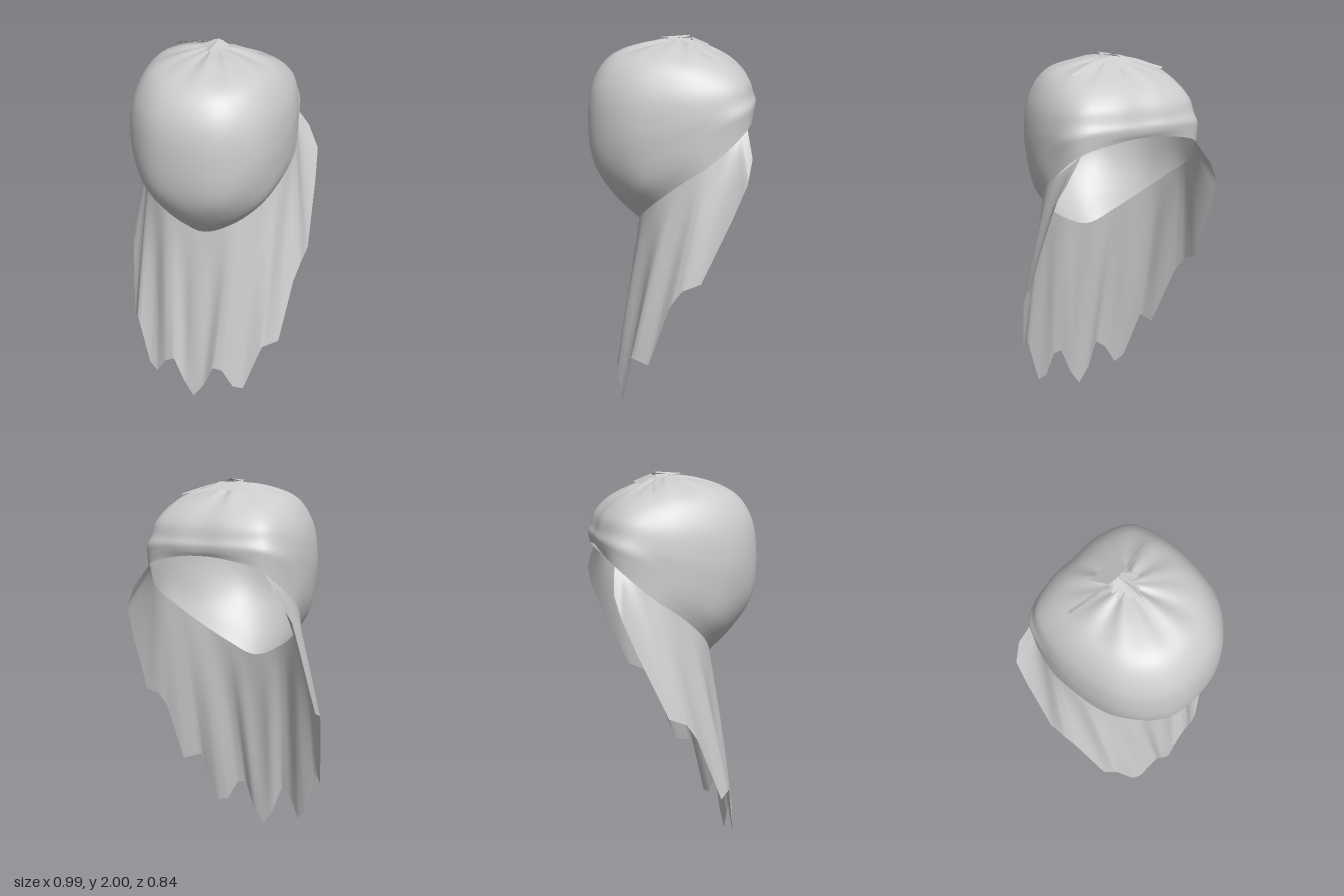
import * as THREE from 'three';

const V = (x, y, z) => new THREE.Vector3(x, y, z);
const mirror = p => V(-p.x, p.y, p.z);
const toPoints = rows => rows.map(r => V(...r));
const { smoothstep } = THREE.MathUtils;

// Half outlines of the hood, from the middle of the front round to the middle of the back
const RIM = toPoints([[0, 1.055, .16], [.15, 1.115, .145], [.285, 1.22, .07], [.365, 1.34, -.06],
  [.385, 1.44, -.2], [.315, 1.59, -.37], [.14, 1.64, -.41], [0, 1.65, -.41]]);
const CHIN = toPoints([[0, 1.18, .285], [.17, 1.22, .25], [.315, 1.305, .15], [.38, 1.415, 0],
  [.39, 1.53, -.16], [.33, 1.64, -.36], [.15, 1.67, -.418], [0, 1.67, -.418]]);
const CHEEK = toPoints([[0, 1.36, .39], [.18, 1.38, .355], [.325, 1.45, .215], [.386, 1.51, .03],
  [.39, 1.6, -.16], [.335, 1.68, -.355], [.15, 1.7, -.42], [0, 1.7, -.42]]);
const BELLY = toPoints([[0, 1.58, .415], [.185, 1.58, .375], [.328, 1.6, .235], [.386, 1.62, .04],
  [.386, 1.67, -.17], [.32, 1.725, -.34], [.15, 1.73, -.408], [0, 1.73, -.408]]);
const APEX = V(0, 1.985, -.06);

// Hem of the drape from the front tip round to the back corner: position, then place along the rim
const HEM = [[0, .005, .29, 0], [.06, .1, .283, .1], [.115, .25, .288, .2], [.165, .245, .282, .27],
  [.225, .13, .265, .34], [.28, .12, .25, .42], [.365, .41, .2, .54], [.43, .4, .11, .64],
  [.465, .74, 0, .72], [.485, .83, -.06, .78], [.495, .87, -.15, .85], [.475, 1.2, -.3, .92],
  [.46, 1.36, -.365, .96], [.4, 1.47, -.39, 1]];
const LEFT_CHANGES = { 3: [.17, .21, .282, .27], 4: [.23, .1, .265, .34], 5: [.28, .14, .25, .42],
  7: [.41, .38, .145, .62] };

// Surface through a grid of points; columns may close into a ring
function gridSurface(cols, rows, closed, at) {
  const pos = [], index = [];
  const n = closed ? cols : cols + 1;
  for (let i = 0; i < n; i++)
    for (let j = 0; j <= rows; j++) pos.push(...at(i, j / rows).toArray());
  for (let i = 0; i < cols; i++)
    for (let j = 0; j < rows; j++) {
      const a = i * (rows + 1) + j, b = ((i + 1) % n) * (rows + 1) + j;
      index.push(a, b, b + 1, a, b + 1, a + 1);
    }
  const g = new THREE.BufferGeometry();
  g.setAttribute('position', new THREE.Float32BufferAttribute(pos, 3));
  g.setIndex(index);
  g.computeVertexNormals();
  return g;
}

function hoodGeometry() {
  // Upper rings shrink toward the apex
  const shrink = (f, y, dip) => BELLY.map(p =>
    V(p.x * f, y - dip * smoothstep(-p.z, 0, .4), APEX.z + (p.z - APEX.z) * f));
  const rings = [RIM, CHIN, CHEEK, BELLY, shrink(.94, 1.772, -.022), shrink(.755, 1.896, .03),
    shrink(.43, 1.954, .025)].map(half =>
    new THREE.CatmullRomCurve3([...half, ...half.slice(1, -1).reverse().map(mirror)], true));
  const cols = 84;
  const columns = Array.from({ length: cols }, (_, i) =>
    new THREE.CatmullRomCurve3([...rings.map(r => r.getPoint(i / cols)), APEX]));
  return gridSurface(cols, 36, true, (i, v) => {
    const p = columns[i].getPoint(v);
    // Uneven pleats gathered at the crown
    const a = i / cols * Math.PI * 2;
    const gather = smoothstep(v, .66, .88) * (1 - smoothstep(v, .92, 1));
    p.y += gather * (.004 * Math.sin(a * 11) + .004 * Math.sin(a * 7 + 1));
    return p;
  });
}

function drapeGeometry() {
  const rimCurve = new THREE.CatmullRomCurve3([...RIM.slice(1, 6).reverse().map(mirror), ...RIM.slice(0, 6)]);
  const left = HEM.map((h, i) => LEFT_CHANGES[i] || h).slice(1).reverse()
    .map(([x, y, z, u]) => [-x, y, z, -u]);
  const hem = [...left, ...HEM];
  const step = 4, cols = (hem.length - 1) * step;
  return gridSurface(cols, 16, false, (i, v) => {
    const k = Math.min(Math.floor(i / step), hem.length - 2), f = i / step - k;
    const [x, y, z, u] = hem[k].map((a, c) => a + (hem[k + 1][c] - a) * f);
    const p = V(x, y, z).lerp(rimCurve.getPoint((u + 1) / 2), v);
    // Soft hanging folds, fading at the rim, hem and back edges
    const fold = .009 * Math.sin(Math.PI * v) * Math.cos(u * 24) * (1 - u * u);
    p.x += fold * Math.sin(u * 1.6);
    p.z += fold * Math.cos(u * 1.6);
    return p;
  });
}

// Thin cloth flap fanned out from its first corner
function flapGeometry(corners) {
  const g = new THREE.BufferGeometry();
  g.setAttribute('position', new THREE.Float32BufferAttribute(corners.flat(), 3));
  g.setIndex(corners.slice(2).flatMap((_, i) => [0, i + 1, i + 2]));
  const flat = g.toNonIndexed();
  flat.computeVertexNormals();
  return flat;
}

export function createModel() {
  const cloth = new THREE.MeshStandardMaterial({ color: 0xcccccc, side: THREE.DoubleSide });
  cloth.name = 'greyCloth';
  const model = new THREE.Group();
  model.name = 'clothHood';
  const add = (name, geometry) => {
    const mesh = new THREE.Mesh(geometry, cloth);
    mesh.name = name;
    model.add(mesh);
  };
  add('hood', hoodGeometry());
  add('drape', drapeGeometry());

  // Gathered knot on the crown
  add('frontTuft', flapGeometry([[0, 2, -.1], [-.025, 1.995, -.1], [-.02, 1.985, -.02], [0, 1.99, .045],
    [.02, 1.985, -.02], [.025, 1.995, -.1]]));
  add('backTuft', flapGeometry([[-.05, 1.985, -.11], [.06, 1.985, -.11], [.09, 1.947, -.195], [-.08, 1.947, -.195]]));
  for (const s of [-1, 1]) {
    add('sidePleat', flapGeometry([[.03 * s, 1.988, -.11], [.12 * s, 1.968, -.115], [.25 * s, 1.925, -.155],
      [.24 * s, 1.918, -.17], [.12 * s, 1.958, -.13]]));
    add('tuftFold', flapGeometry([[.02 * s, 1.99, -.11], [0, 1.982, .03], [.06 * s, 1.972, -.035], [.08 * s, 1.972, -.06],
      [.05 * s, 1.98, -.1]]));
  }
  return model;
}
